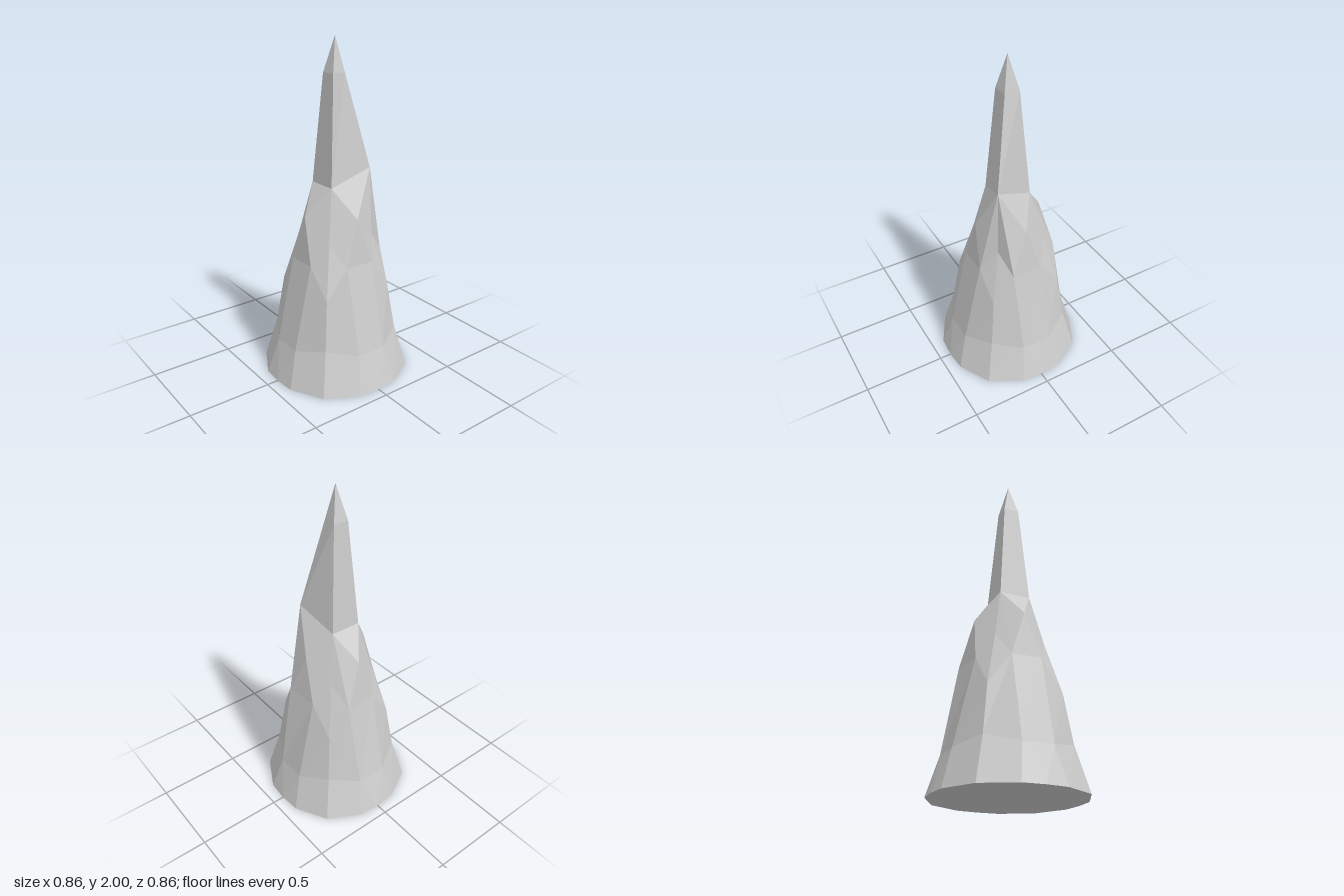
import * as THREE from 'three';

// Point in quarter k: 'along' its axis (0 = +z, 1 = +x, 2 = -z, 3 = -x), 'side' towards the next axis
function at(k, along, side, y) {
  const a = (k % 4) * Math.PI / 2, s = Math.sin(a), c = Math.cos(a);
  return [along * s + side * c, y, along * c - side * s];
}

export function createModel() {
  const group = new THREE.Group();
  const positions = [];
  // Fan of triangles, corners counter-clockwise from outside
  const face = (...p) => {
    for (let i = 1; i < p.length - 1; i++) positions.push(...p[0], ...p[i], ...p[i + 1]);
  };

  const tip = [0, 2, 0], centre = [0, 0, 0];

  // Named points of one quarter; L/R lie beside the axis, the rest on the corner diagonal
  const quarters = [0, 1, 2, 3].map((k) => {
    const peak = k === 1; // back corner that juts out higher
    const chipped = k > 1; // slightly bulging shoulders at the back
    const corner = (d, y) => at(k, d, d, y);
    return {
      baseMid: at(k, 0.43, 0, 0),
      baseL: at(k, 0.42, -0.127, 0),
      baseR: at(k, 0.42, 0.127, 0),
      baseCorner: corner(0.317, 0),
      lowL: at(k, 0.357, -0.09, 0.22),
      lowR: at(k, 0.357, 0.09, 0.22),
      lowCorner: corner(0.26, 0.26),
      midL: chipped ? at(k, 0.26, -0.107, 0.74) : at(k, 0.24, -0.09, 0.73),
      midR: at(k, 0.24, 0.09, 0.73),
      midCorner: corner(0.224, 0.55),
      notch: corner(0.15, 0.87),
      shoulder: at(k, 0.214, 0, 1.0),
      neck: peak ? corner(0.142, 1.27) : corner(0.093, 1.17),
      spire: peak ? corner(0.039, 1.8) : corner(0.047, 1.8),
    };
  });

  quarters.forEach((q, k) => {
    const n = quarters[(k + 1) % 4], p = quarters[(k + 3) % 4];
    // Spire
    face(p.spire, q.spire, tip);
    face(p.neck, q.neck, q.spire, p.spire);
    // Shoulder facets
    face(q.shoulder, q.neck, p.neck);
    face(q.midL, q.midR, q.shoulder);
    face(q.midR, q.notch, q.neck, q.shoulder);
    face(q.neck, q.notch, n.midL, n.shoulder);
    // Diamond on the corner
    face(q.notch, q.midR, q.midCorner, n.midL);
    // Long body panels
    face(q.lowL, q.lowR, q.midR, q.midL);
    face(q.lowR, q.lowCorner, q.midCorner, q.midR);
    face(q.lowCorner, n.lowL, n.midL, q.midCorner);
    // Flared foot
    face(q.baseMid, q.baseR, q.lowR, q.lowL, q.baseL);
    face(q.baseR, q.baseCorner, q.lowCorner, q.lowR);
    face(q.baseCorner, n.baseL, n.lowL, q.lowCorner);
    // Underside
    face(centre, n.baseL, q.baseCorner, q.baseR, q.baseMid, q.baseL);
  });

  const geometry = new THREE.BufferGeometry();
  geometry.setAttribute('position', new THREE.Float32BufferAttribute(positions, 3));
  geometry.computeVertexNormals();
  const rock = new THREE.Mesh(
    geometry,
    new THREE.MeshStandardMaterial({ color: 0xcccccc, flatShading: true })
  );
  rock.name = 'rockSpire';
  group.add(rock);
  group.name = 'stalagmite';
  return group;
}
